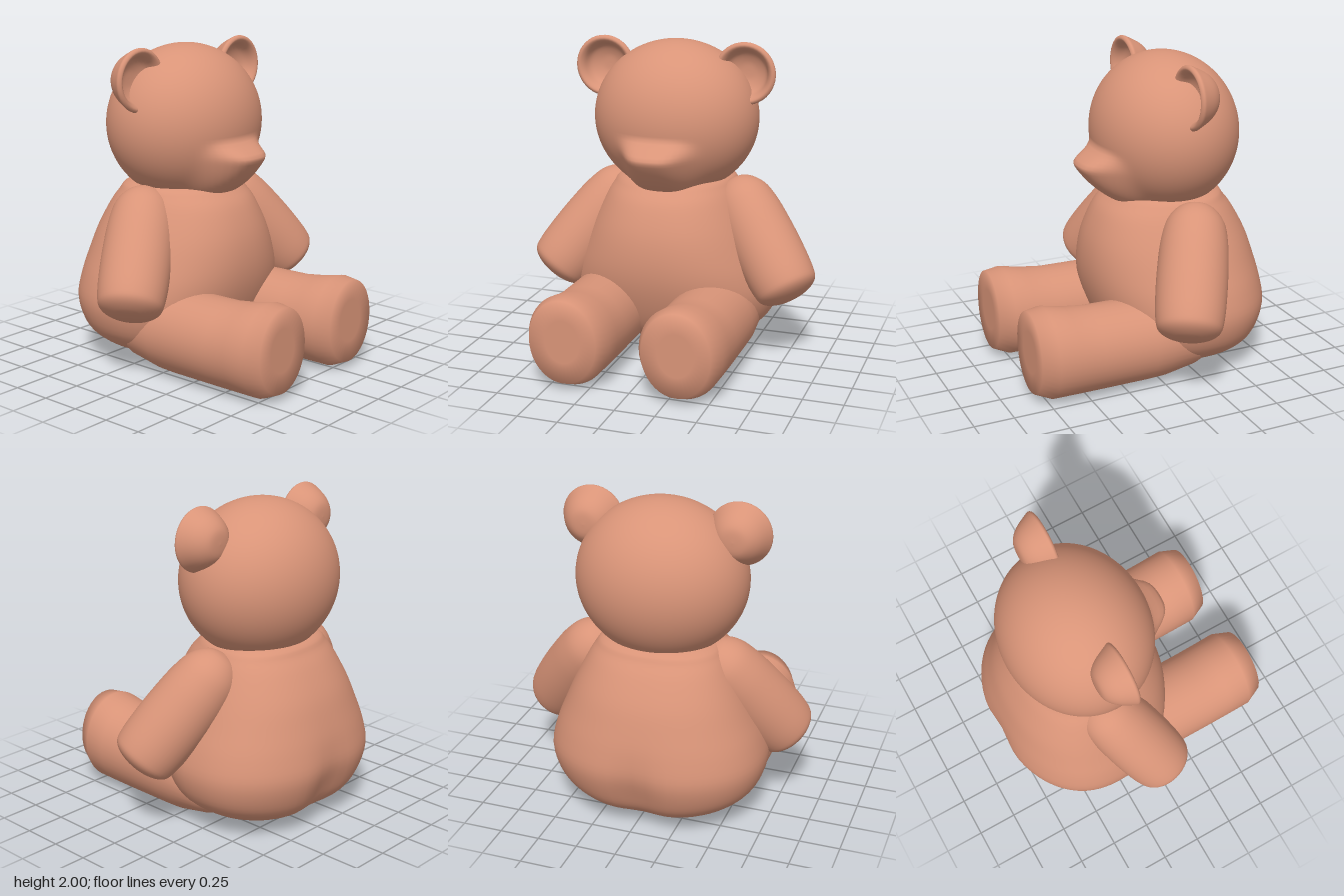
import * as THREE from 'three';

const material = new THREE.MeshStandardMaterial({ color: 0xd99478 });

function mesh(name, geometry) {
  const m = new THREE.Mesh(geometry, material);
  m.name = name;
  return m;
}

// Closed smooth skin over rings; point(i, angle) gives a Vector3
function skin(rings, sides, point) {
  const pos = [], index = [];
  for (let i = 0; i < rings; i++) {
    for (let j = 0; j < sides; j++) pos.push(...point(i, (j / sides) * Math.PI * 2).toArray());
  }
  for (let i = 0; i < rings - 1; i++) {
    for (let j = 0; j < sides; j++) {
      const a = i * sides + j, b = i * sides + (j + 1) % sides;
      index.push(a, a + sides, b, b, a + sides, b + sides);
    }
  }
  const g = new THREE.BufferGeometry();
  g.setAttribute('position', new THREE.Float32BufferAttribute(pos, 3));
  g.setIndex(index);
  g.computeVertexNormals();
  return g;
}

const lathe = (points, sides) =>
  new THREE.LatheGeometry(new THREE.SplineCurve(points.map(p => new THREE.Vector2(...p)))
    .getPoints(40).map(p => p.setX(Math.max(0, p.x))), sides);

// Pear-shaped body: height, half width, front z, back z
function makeBody() {
  const rows = [
    [0.05, 0, -0.3, -0.3], [0.05, 0.24, -0.1, -0.5], [0.08, 0.42, 0.02, -0.64],
    [0.15, 0.55, 0.13, -0.74], [0.25, 0.64, 0.2, -0.8], [0.4, 0.68, 0.26, -0.84],
    [0.55, 0.65, 0.295, -0.82], [0.7, 0.59, 0.3, -0.78], [0.85, 0.525, 0.275, -0.73],
    [1.0, 0.45, 0.215, -0.65], [1.08, 0.4, 0.15, -0.59], [1.13, 0.35, 0.08, -0.55],
    [1.17, 0.2, -0.1, -0.42], [1.18, 0, -0.3, -0.3],
  ];
  const curve = k => new THREE.CatmullRomCurve3(
    rows.map(r => new THREE.Vector3(r[1], r[0], r[k])), false, 'catmullrom');
  const front = curve(2), back = curve(3), n = 53, mid = -0.3;
  const soft = v => Math.sign(v) * Math.abs(v) ** 0.9;
  return mesh('body', skin(n, 64, (i, a) => {
    const f = front.getPoint(i / (n - 1)), b = back.getPoint(i / (n - 1));
    const s = soft(Math.sin(a)), x = f.x * soft(Math.cos(a));
    let z = mid + s * (s > 0 ? f.z - mid : mid - b.z);
    // shallow groove between the two rear lobes
    const low = Math.exp(-(((f.y - 0.25) / 0.25) ** 2));
    if (s < 0) z += 0.05 * -s * low * Math.exp(-((x / 0.14) ** 2));
    return new THREE.Vector3(x - 0.04, f.y, z);
  }));
}

// Head: an ellipsoid whose lower front is drawn out into a muzzle
function makeHead() {
  const g = new THREE.SphereGeometry(1, 96, 72);
  g.scale(0.53, 0.49, 0.455);
  const p = g.attributes.position;
  for (let i = 0; i < p.count; i++) {
    const x = p.getX(i), y = p.getY(i), z = p.getZ(i);
    if (z <= 0) continue;
    const brow = 1 - THREE.MathUtils.smoothstep(y, -0.18, -0.06);
    const chin = THREE.MathUtils.clamp(0.165 + (y + 0.19) * 0.25, 0.1, 0.165);
    const across = Math.exp(-((x / 0.2) ** 4));
    p.setZ(i, z + chin * brow * across * THREE.MathUtils.smoothstep(z, 0, 0.2));
  }
  g.computeVertexNormals();
  // keep the seam and crown smooth: both lie on the undeformed ellipsoid
  const nrm = g.attributes.normal, v = new THREE.Vector3();
  for (let i = 0; i < p.count; i++) {
    if (p.getZ(i) > 0.001 && p.getY(i) < 0) continue;
    v.set(p.getX(i) / 0.281, p.getY(i) / 0.24, p.getZ(i) / 0.207).normalize();
    nrm.setXYZ(i, v.x, v.y, v.z);
  }
  const head = mesh('head', g);
  head.position.set(-0.03, 1.5, -0.23);
  return head;
}

// Cupped ear, hollow towards the front
function makeEar(side) {
  const ear = mesh(side > 0 ? 'leftEar' : 'rightEar', lathe([
    [0, -0.16], [0.08, -0.15], [0.14, -0.1], [0.185, -0.02], [0.195, 0.01],
    [0.175, 0.025], [0.15, 0.005], [0.12, -0.05], [0.06, -0.08], [0, -0.085],
  ], 40));
  ear.rotation.x = Math.PI / 2;
  ear.position.set(-0.03 + side * 0.46, 1.805, -0.18);
  return ear;
}

// Arm hanging outwards and forwards with a blunt paw
function makeArm(side) {
  const arm = mesh(side > 0 ? 'leftArm' : 'rightArm', lathe([
    [0, -0.2], [0.1, -0.17], [0.175, -0.08], [0.205, 0.05], [0.215, 0.22],
    [0.215, 0.4], [0.205, 0.55], [0.18, 0.62], [0.1, 0.66], [0, 0.67],
  ], 40));
  const dir = new THREE.Vector3(side * 0.36, -0.49, 0.22).normalize();
  arm.quaternion.setFromUnitVectors(new THREE.Vector3(0, 1, 0), dir);
  arm.position.set(side * 0.435, 0.95, -0.22);
  return arm;
}

// Leg lying forwards, from sole to hip: z, half width, bottom y, top y
function makeLeg(side) {
  const rows = [
    [0.84, 0, 0.31, 0.31], [0.84, 0.11, 0.18, 0.45], [0.84, 0.215, 0.05, 0.575],
    [0.74, 0.262, 0.005, 0.585], [0.6, 0.262, 0.005, 0.555], [0.45, 0.262, 0.005, 0.535],
    [0.1, 0.262, 0.005, 0.53], [0, 0.262, 0.01, 0.52], [-0.2, 0.24, 0.05, 0.45],
    [-0.33, 0.15, 0.09, 0.3], [-0.36, 0, 0.18, 0.18],
  ];
  const leg = mesh(side > 0 ? 'leftLeg' : 'rightLeg', skin(rows.length, 40, (i, a) => {
    const [z, w, y0, y1] = rows[i];
    return new THREE.Vector3(w * Math.cos(a), (y0 + y1) / 2 + (y1 - y0) / 2 * Math.sin(a), z);
  }));
  leg.position.set(-0.038 + side * 0.353, 0, side > 0 ? -0.015 : 0);
  return leg;
}

export function createModel() {
  const model = new THREE.Group();
  model.name = 'teddyBear';
  model.add(makeBody(), makeHead());
  for (const side of [-1, 1]) model.add(makeEar(side), makeArm(side), makeLeg(side));
  return model;
}
